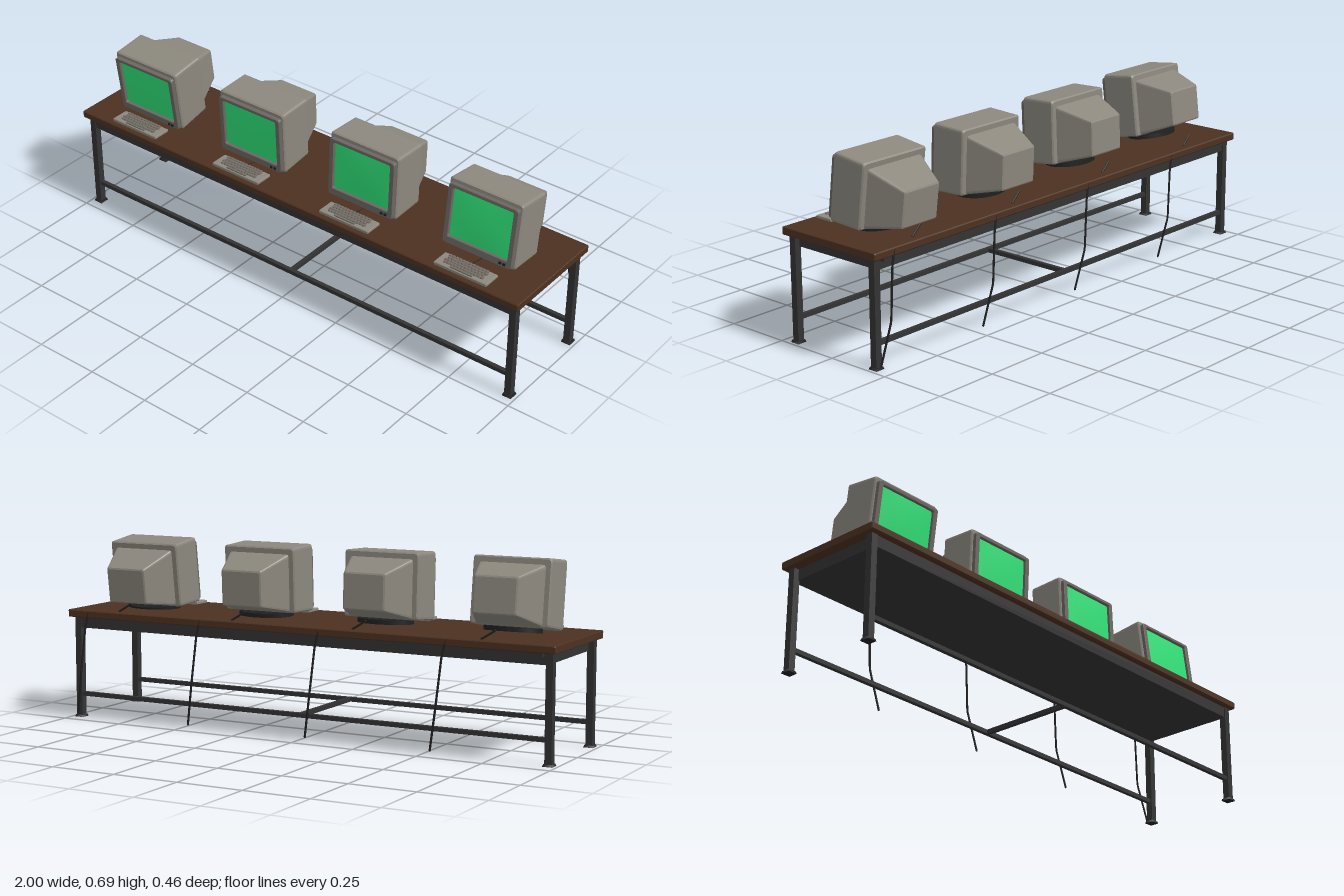
import * as THREE from 'three';

const mat = (name, color, side = THREE.FrontSide) => {
  const m = new THREE.MeshStandardMaterial({ color, side });
  m.name = name;
  return m;
};

export function createModel() {
  const wood = mat('brown wood', 0x4c3120);
  const steel = mat('dark steel', 0x333333);
  const black = mat('black rubber', 0x202020);
  const plastic = mat('grey plastic', 0x8c887e);
  const trim = mat('bezel grey', 0x6c6762);
  const keyGrey = mat('key grey', 0x746f67);
  const glow = mat('screen green', 0x2fe278, THREE.DoubleSide);

  const model = new THREE.Group();
  model.name = 'computerTable';

  const add = (parent, name, geo, material, x = 0, y = 0, z = 0) => {
    const m = new THREE.Mesh(geo, material);
    m.name = name;
    m.position.set(x, y, z);
    parent.add(m);
    return m;
  };
  // box given by its limits on each axis
  const box = (parent, name, material, [x0, x1], [y0, y1], [z0, z1]) =>
    add(parent, name, new THREE.BoxGeometry(x1 - x0, y1 - y0, z1 - z0), material,
      (x0 + x1) / 2, (y0 + y1) / 2, (z0 + z1) / 2);

  // rounded rectangle centred on x = 0
  const roundRect = (C, hx, y0, y1, r) => {
    const s = new C();
    s.moveTo(-hx + r, y0);
    s.lineTo(hx - r, y0);
    s.quadraticCurveTo(hx, y0, hx, y0 + r);
    s.lineTo(hx, y1 - r);
    s.quadraticCurveTo(hx, y1, hx - r, y1);
    s.lineTo(-hx + r, y1);
    s.quadraticCurveTo(-hx, y1, -hx, y1 - r);
    s.lineTo(-hx, y0 + r);
    s.quadraticCurveTo(-hx, y0, -hx + r, y0);
    return s;
  };

  // solid through rounded-rectangle sections [z, halfWidth, bottom, top, radius], back to front
  const loft = (sections) => {
    const rings = sections.map(([z, hx, y0, y1, r]) =>
      roundRect(THREE.Shape, hx, y0, y1, r).getPoints(3).slice(0, -1).map((p) => [p.x, p.y, z]));
    const n = rings[0].length;
    const pos = [];
    const tri = (a, b, c) => pos.push(...a, ...b, ...c);
    for (let k = 0; k + 1 < rings.length; k++) {
      for (let i = 0; i < n; i++) {
        const j = (i + 1) % n, A = rings[k], B = rings[k + 1];
        tri(A[i], A[j], B[j]);
        tri(A[i], B[j], B[i]);
      }
    }
    const back = rings[0], front = rings[rings.length - 1];
    for (let i = 1; i + 1 < n; i++) {
      tri(back[0], back[i + 1], back[i]);
      tri(front[0], front[i], front[i + 1]);
    }
    const g = new THREE.BufferGeometry();
    g.setAttribute('position', new THREE.Float32BufferAttribute(pos, 3));
    g.computeVertexNormals();
    return g;
  };

  // cable made of straight runs
  const cable = (parent, name, points, r) => {
    const path = new THREE.CurvePath();
    const v = points.map((p) => new THREE.Vector3(...p));
    for (let i = 0; i + 1 < v.length; i++) path.add(new THREE.LineCurve3(v[i], v[i + 1]));
    add(parent, name, new THREE.TubeGeometry(path, 24, r, 6), black);
    for (const p of [v[0], v[v.length - 1]])
      add(parent, name + 'End', new THREE.SphereGeometry(r, 6, 4), black, p.x, p.y, p.z);
  };

  // table top with softened edges
  add(model, 'tableTop', loft([
    [-0.2165, 0.997, 0.393, 0.414, 0.003], [-0.2125, 1, 0.389, 0.4175, 0.004],
    [0.2255, 1, 0.389, 0.4175, 0.004], [0.2295, 0.997, 0.393, 0.414, 0.003]]), wood);

  // solid under-frame, legs, feet and rails
  const frontZ = 0.1975, backZ = -0.1815;
  box(model, 'underFrame', steel, [-0.962, 0.962], [0.347, 0.3895], [backZ - 0.009, frontZ + 0.009]);
  for (const z of [frontZ, backZ]) {
    for (const x of [-0.9695, 0.9695]) {
      box(model, 'leg', steel, [x - 0.013, x + 0.013], [0.004, 0.39], [z - 0.013, z + 0.013]);
      add(model, 'foot', new THREE.CylinderGeometry(0.023, 0.026, 0.008, 4, 1).rotateY(Math.PI / 4), black, x, 0.004, z);
    }
    box(model, 'longRail', steel, [-0.957, 0.957], [0.082, 0.098], [z - 0.008, z + 0.008]);
  }
  box(model, 'crossRail', steel, [-0.008, 0.008], [0.082, 0.098], [backZ, frontZ]);
  box(model, 'cableStrip', steel, [-0.95, 0.95], [0.376, 0.3895], [-0.208, -0.19]);

  // monitor head, pivoting at its lower middle
  const makeMonitor = () => {
    const head = new THREE.Group();
    head.name = 'monitor';
    add(head, 'case', loft([
      [-0.070, 0.144, 0.015, 0.247, 0.012], [-0.065, 0.149, 0.010, 0.252, 0.012],
      [0.064, 0.150, 0.001, 0.252, 0.012], [0.070, 0.146, 0.005, 0.248, 0.012]]), plastic);
    add(head, 'tubeHousing', loft([
      [-0.203, 0.077, 0.052, 0.175, 0.007], [-0.200, 0.083, 0.047, 0.181, 0.008],
      [-0.068, 0.127, 0.012, 0.229, 0.012]]), plastic);
    // bezel ring around the screen
    const ring = roundRect(THREE.Shape, 0.140, 0.008, 0.234, 0.010);
    ring.holes.push(roundRect(THREE.Path, 0.125, 0.032, 0.224, 0.008));
    add(head, 'bezel', new THREE.ExtrudeGeometry(ring, {
      depth: 0.015, bevelEnabled: true, bevelSize: 0.002, bevelThickness: 0.002, bevelSegments: 1, curveSegments: 3,
    }), trim, 0, 0, 0.069);
    // slightly bulging screen
    const glass = new THREE.PlaneGeometry(0.254, 0.196, 10, 8);
    const p = glass.attributes.position;
    for (let i = 0; i < p.count; i++) {
      const u = p.getX(i) / 0.127, v = p.getY(i) / 0.098;
      p.setZ(i, 0.004 * (1 - u * u) * (1 - v * v));
    }
    glass.computeVertexNormals();
    add(head, 'screen', glass, glow, 0, 0.128, 0.074);
    for (const x of [0.098, 0.114])
      box(head, 'button', black, [x - 0.005, x + 0.005], [0.015, 0.024], [0.08, 0.09]);
    // oval swivel plate under the case
    const plate = new THREE.CylinderGeometry(0.108, 0.108, 0.016, 32).scale(1, 1, 0.74);
    add(head, 'swivelPlate', plate, black, 0, -0.001, -0.025);
    return head;
  };

  // keyboard with rows of keys, centred on its own origin
  const makeKeyboard = () => {
    const kb = new THREE.Group();
    kb.name = 'keyboard';
    add(kb, 'keyboardBody', loft([[-0.036, 0.107, 0, 0.009, 0.003], [-0.034, 0.109, 0, 0.011, 0.003],
      [0.034, 0.109, 0, 0.011, 0.003], [0.036, 0.107, 0, 0.009, 0.003]]), plastic);
    const keyGeo = new THREE.CylinderGeometry(0.0062, 0.0085, 0.008, 4, 1).rotateY(Math.PI / 4);
    for (let row = 0; row < 4; row++) {
      for (let i = 0; i < 12; i++)
        add(kb, 'key', keyGeo, keyGrey, -0.08 + i * 0.0138 + (row % 2) * 0.005, 0.013, -0.026 + row * 0.0135);
    }
    box(kb, 'spaceBar', keyGrey, [-0.045, 0.045], [0.008, 0.015], [0.0235, 0.031]);
    return kb;
  };

  // four workstations, each screen tilted a little further back
  [7.2, 2.4, -2.4, -7.2].forEach((tilt, i) => {
    const station = new THREE.Group();
    station.name = 'workstation';
    station.position.x = -0.75 + 0.5 * i;
    model.add(station);

    const head = makeMonitor();
    head.position.set(0, 0.43, 0.03);
    head.rotation.x = THREE.MathUtils.degToRad(tilt);
    station.add(head);

    const kb = makeKeyboard();
    kb.position.set(0, 0.4175, 0.174);
    station.add(kb);
    cable(station, 'keyboardCord', [[0, 0.425, 0.14], [0.01, 0.422, 0.06]], 0.0018);
    cable(station, 'monitorCord', [[-0.01, 0.449, -0.171], [0.038, 0.418, -0.181]], 0.004);
    cable(station, 'hangingCable', [[0.157, 0.411, -0.213], [0.171, 0.35, -0.2165],
      [0.189, 0.17, -0.225], [0.219, 0.016, -0.204]], 0.004);
  });

  return model;
}
